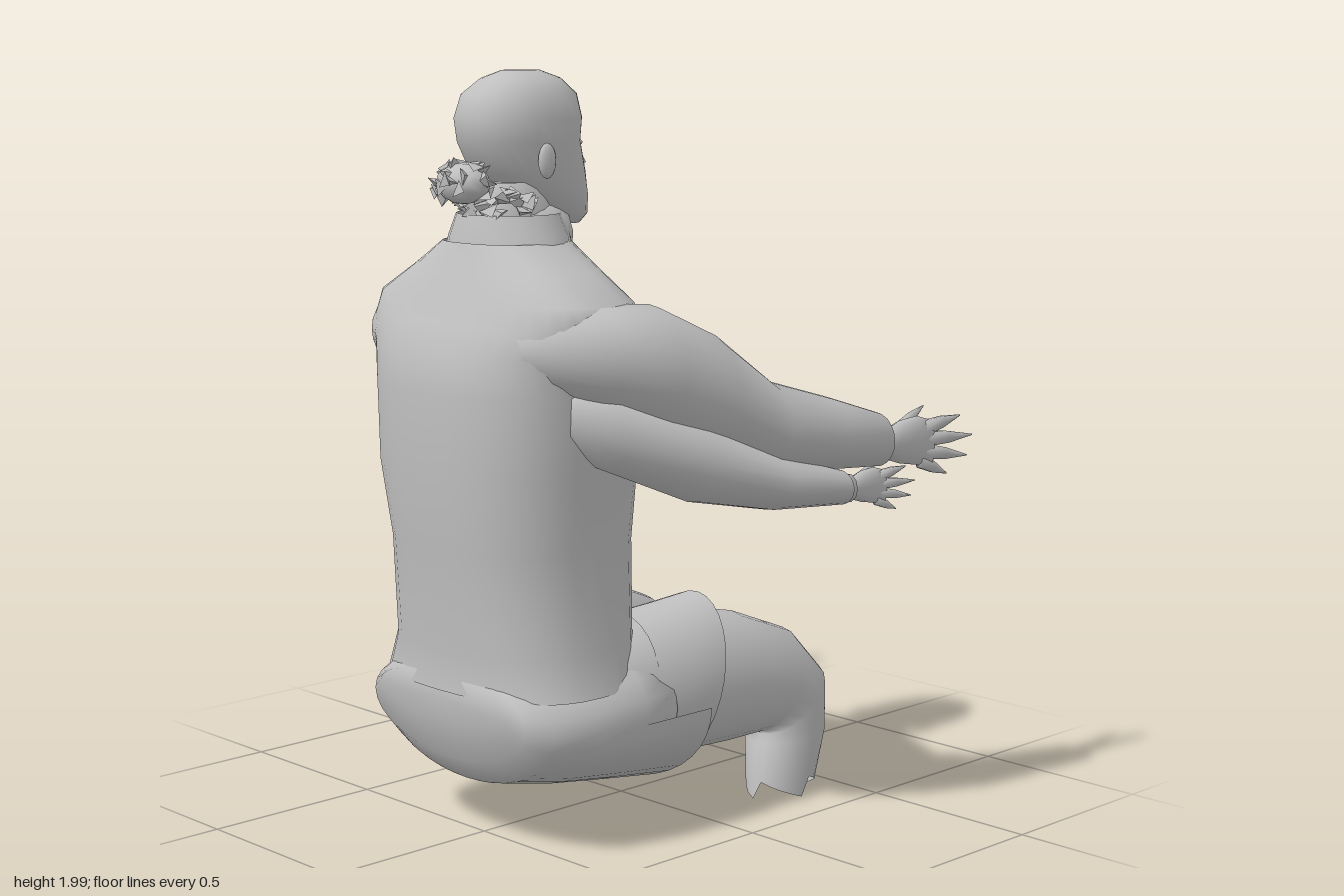
import * as THREE from 'three';

const grey = new THREE.MeshStandardMaterial({ color: 0xbfbfbf, side: THREE.DoubleSide });
grey.name = 'plain grey';

// Small seeded generator for ragged hair
let seed = 7;
const rnd = () => (seed = (seed * 16807) % 2147483647) / 2147483647;

// Skin through elliptical rings [x, y, z, rx, rv, tilt in degrees, optional].
// Tilt 180 = facing -z, 90 = facing down, -90 = facing up.
function loft(name, rings, o = {}) {
  const { sides = 20, side = 1, from = 0, to = 360, power = 1, cap = true, ragged = 0 } = o;
  const pos = [], idx = [], closed = to - from === 360;
  const n = closed ? sides : sides + 1;
  const pw = v => Math.sign(v) * Math.abs(v) ** power;
  const tri = (a, b, c) => side > 0 ? idx.push(a, b, c) : idx.push(a, c, b);
  rings.forEach(([x, y, z, rx, rv, t = 180], i) => {
    const q = t * Math.PI / 180;
    for (let j = 0; j < n; j++) {
      const a = (from + (to - from) * j / sides) * Math.PI / 180;
      const u = rx * pw(Math.cos(a)), v = rv * pw(Math.sin(a));
      const tear = i === rings.length - 1 ? ragged * (j % 5) / 4 : 0;
      pos.push(side * (x + u), y + v * Math.cos(q) + tear, z + v * Math.sin(q));
    }
  });
  for (let i = 0; i < rings.length - 1; i++) {
    for (let j = 0; j < (closed ? n : n - 1); j++) {
      const a = i * n + j, b = i * n + (j + 1) % n;
      tri(a, b, a + n);
      tri(b, b + n, a + n);
    }
  }
  if (cap && closed) {
    [0, rings.length - 1].forEach((i, end) => {
      const [x, y, z] = rings[i], c = pos.length / 3;
      pos.push(side * x, y, z);
      for (let j = 0; j < n; j++) {
        const a = i * n + j, b = i * n + (j + 1) % n;
        end ? tri(a, b, c) : tri(b, a, c);
      }
    });
  }
  const g = new THREE.BufferGeometry();
  g.setAttribute('position', new THREE.Float32BufferAttribute(pos, 3));
  g.setIndex(idx);
  g.computeVertexNormals();
  const m = new THREE.Mesh(g, grey);
  m.name = name;
  return m;
}

// Ring for an upright part from its height, half width, front z and back z
const up = (y, rx, front, back) => [0, y, (front + back) / 2, rx, (back - front) / 2, -90];

function ball(name, x, y, z, sx, sy, sz) {
  const m = new THREE.Mesh(new THREE.SphereGeometry(1, 10, 8), grey);
  m.name = name;
  m.position.set(x, y, z);
  m.scale.set(sx, sy, sz);
  return m;
}

function head(name) {
  const g = new THREE.Group();
  g.name = name;
  g.add(loft('skull', [
    up(1.605, 0.045, 0.17, 0.26), up(1.63, 0.08, 0.157, 0.31), up(1.68, 0.104, 0.158, 0.4),
    up(1.74, 0.122, 0.17, 0.49), up(1.82, 0.134, 0.193, 0.53), up(1.88, 0.137, 0.187, 0.54),
    up(1.94, 0.122, 0.2, 0.52), up(1.98, 0.085, 0.245, 0.465), up(2.0, 0.035, 0.3, 0.41),
  ], { sides: 24, power: 0.92 }));
  g.add(loft('nose', [
    up(1.745, 0.022, 0.155, 0.2), up(1.76, 0.025, 0.133, 0.21), up(1.8, 0.016, 0.16, 0.21), up(1.85, 0.012, 0.185, 0.21),
  ], { sides: 8 }));
  g.add(ball('upper lip', 0, 1.705, 0.164, 0.034, 0.008, 0.01), ball('lower lip', 0, 1.688, 0.162, 0.03, 0.009, 0.01));
  for (const s of [-1, 1]) {
    g.add(ball('ear', s * 0.133, 1.775, 0.385, 0.014, 0.045, 0.028));
    g.add(ball('eye', s * 0.05, 1.815, 0.21, 0.022, 0.009, 0.012));
  }
  return g;
}

// Palm with five pointed fingers, placed at the wrist
function hand(side, x, y, z, k) {
  const g = new THREE.Group();
  g.name = 'hand';
  const ring = (dx, dy, dz, rx, rv) => [x + dx * k, y + dy * k, z + dz * k, rx * k, rv * k];
  g.add(loft('palm', [
    ring(0, 0, 0.03, 0.035, 0.04), ring(0, 0, -0.05, 0.03, 0.04),
    ring(0.002, 0.002, -0.1, 0.03, 0.058), ring(0.008, 0, -0.16, 0.025, 0.066), ring(0.018, -0.015, -0.21, 0.014, 0.066),
  ], { sides: 12, side }));
  const fingers = [
    [-0.005, 0.03, -0.1, -0.035, 0.08, -0.24], [0.015, 0.03, -0.18, 0.035, 0.055, -0.31],
    [0.015, 0.002, -0.18, 0.05, 0, -0.345], [0.015, -0.03, -0.18, 0.045, -0.055, -0.33],
    [0.012, -0.055, -0.17, 0.025, -0.1, -0.27],
  ];
  fingers.forEach(([a, b, c, d, e, f]) => g.add(loft('finger', [
    ring(a, b, c, 0.016, 0.024),
    ring((a + d) / 2, (b + e) / 2, (c + f) / 2, 0.013, 0.018),
    ring(d, e, f, 0.002, 0.002),
  ], { sides: 6, side })));
  return g;
}

export function createModel() {
  const model = new THREE.Group();
  model.name = 'seatedFigure';

  // Torso: shirt inside a jacket that is open at the front
  const body = [
    [0.43, 0.355, 0.16, 0.655], [0.53, 0.325, 0.135, 0.645], [0.8, 0.308, 0.12, 0.672],
    [1.0, 0.345, 0.125, 0.69], [1.2, 0.355, 0.13, 0.69], [1.3, 0.37, 0.145, 0.68],
    [1.37, 0.41, 0.185, 0.64], [1.43, 0.4, 0.21, 0.615], [1.5, 0.28, 0.235, 0.58], [1.57, 0.165, 0.26, 0.55],
  ];
  const cloth = { power: 0.8, sides: 32 };
  model.add(loft('shirt', body.map(([y, r, f, b]) => up(y, r - 0.015, f + 0.012, b - 0.015)), cloth));
  model.add(loft('jacket', body.map(([y, r, f, b]) => up(y, r, f, b)), { ...cloth, from: 110, to: 430 }));
  model.add(loft('collar', [up(1.55, 0.178, 0.25, 0.55), up(1.585, 0.165, 0.25, 0.545), up(1.64, 0.138, 0.27, 0.53)],
    { from: 120, to: 420 }));

  // Head, neck and the smaller face below it
  model.add(head('head'));
  model.add(loft('neck', [up(1.45, 0.1, 0.28, 0.51), up(1.6, 0.09, 0.27, 0.5), up(1.72, 0.09, 0.28, 0.49)]));
  const inner = head('innerHead');
  inner.scale.set(0.9, 0.7, 0.7);
  inner.position.set(0, 0.272, 0.092);
  model.add(inner);

  // Ragged hair bun and nape tufts
  const hair = new THREE.Group();
  hair.name = 'hair';
  const tuft = (x, y, z, size) => {
    const m = new THREE.Mesh(new THREE.TetrahedronGeometry(size), grey);
    m.name = 'hairTuft';
    m.position.set(x, y, z);
    m.rotation.set(rnd() * 6, rnd() * 6, rnd() * 6);
    m.scale.set(1, 0.5, 1);
    hair.add(m);
  };
  hair.add(ball('bun', 0, 1.72, 0.55, 0.08, 0.052, 0.06));
  for (let i = 0; i < 36; i++) {
    const a = rnd() * Math.PI * 2, b = (rnd() - 0.5) * 2.4;
    tuft(0.085 * Math.cos(a) * Math.cos(b), 1.72 + 0.05 * Math.sin(b), 0.55 + 0.06 * Math.sin(a) * Math.cos(b), 0.028);
  }
  for (let i = 0; i < 30; i++) {
    const a = Math.PI * i / 29;
    tuft(0.115 * Math.cos(a), 1.64 + rnd() * 0.06, 0.42 + 0.1 * Math.sin(a), 0.032);
  }
  model.add(hair);

  // Seat of the trousers, with its lower shell running on between the thighs
  model.add(loft('hips', [
    [0, 0.41, 0.648, 0.24, 0.06], [0, 0.37, 0.62, 0.3, 0.125], [0, 0.35, 0.56, 0.345, 0.175],
    [0, 0.35, 0.42, 0.378, 0.2], [0, 0.355, 0.27, 0.385, 0.22], [0, 0.355, 0.15, 0.37, 0.225],
  ], { sides: 28 }));
  model.add(loft('seatShell', [
    [0, 0.34, 0.56, 0.335, 0.165], [0, 0.34, 0.42, 0.374, 0.195], [0, 0.34, 0.25, 0.386, 0.222], [0, 0.34, 0.04, 0.388, 0.255],
  ], { from: 0, to: 180 }));

  for (const side of [-1, 1]) {
    // Leg bent at the knee and torn open at the shin
    model.add(loft('leg', [
      [0.19, 0.375, 0.3, 0.155, 0.18], [0.212, 0.385, 0.05, 0.16, 0.2, 172],
      [0.243, 0.365, -0.15, 0.142, 0.18, 170], [0.27, 0.335, -0.3, 0.123, 0.148, 158],
      [0.278, 0.27, -0.37, 0.113, 0.13, 130], [0.288, 0.18, -0.355, 0.104, 0.12, 95],
      [0.3, 0.015, -0.325, 0.08, 0.11, 90],
    ], { side, cap: false, ragged: 0.05 }));
    // Jacket skirt lying over the thigh
    model.add(loft('jacketSkirt', [
      [0.19, 0.385, 0.2, 0.165, 0.2, 174], [0.208, 0.385, 0.09, 0.167, 0.215, 170], [0.222, 0.39, -0.01, 0.16, 0.228, 166],
    ], { side, from: 165, to: 405 }));

    // Upper arm pair, growing out of the shoulder yoke
    model.add(loft('upperSleeve', [
      [0.2, 1.32, 0.61, 0.09, 0.05], [0.27, 1.32, 0.55, 0.11, 0.09], [0.355, 1.31, 0.45, 0.138, 0.125],
      [0.41, 1.27, 0.3, 0.142, 0.16], [0.46, 1.205, 0.15, 0.127, 0.148], [0.52, 1.11, 0, 0.112, 0.112],
      [0.575, 1.07, -0.18, 0.092, 0.096], [0.61, 1.04, -0.34, 0.068, 0.072],
    ], { side }));
    model.add(loft('upperCuff', [[0.607, 1.03, -0.32, 0.045, 0.055], [0.612, 1.025, -0.37, 0.036, 0.05]], { side, sides: 10 }));
    model.add(hand(side, 0.612, 1.02, -0.335, 1));

    // Lower arm pair
    model.add(loft('lowerSleeve', [
      [0.3, 1.16, 0.5, 0.07, 0.06], [0.37, 1.12, 0.42, 0.105, 0.1], [0.45, 1.03, 0.2, 0.122, 0.108],
      [0.535, 0.962, 0, 0.105, 0.075], [0.608, 0.93, -0.2, 0.054, 0.046],
    ], { side }));
    model.add(loft('lowerCuff', [[0.613, 0.93, -0.18, 0.036, 0.04], [0.617, 0.925, -0.23, 0.03, 0.038]], { side, sides: 10 }));
    model.add(hand(side, 0.616, 0.922, -0.205, 0.72));
  }
  return model;
}
